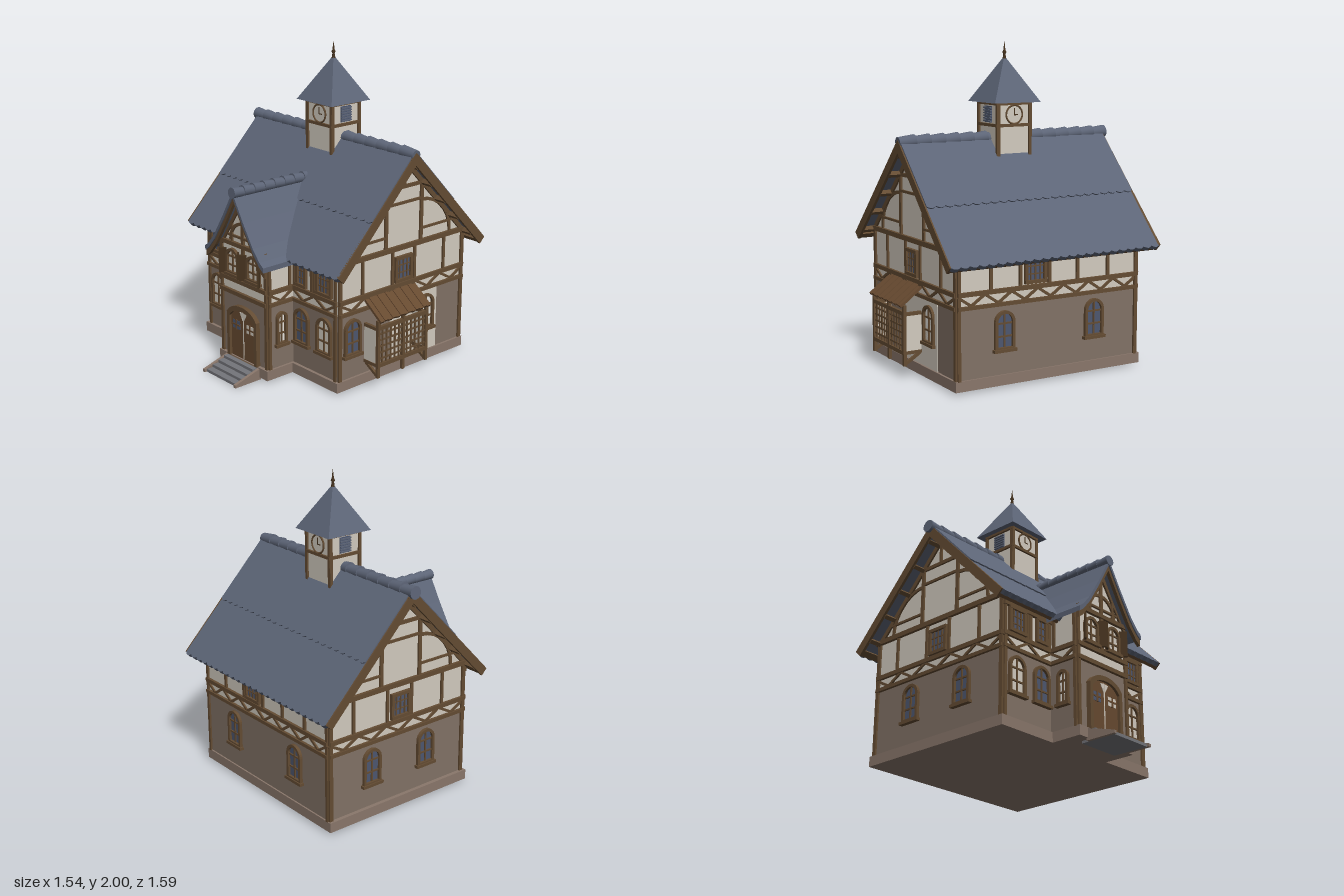
import * as THREE from 'three';

const mat = (name, color) => Object.assign(new THREE.MeshStandardMaterial({ color }), { name });
const M = {
  roof: mat('slateRoof', 0x5d6577), cream: mat('creamPlaster', 0xd3ccc0), wood: mat('timber', 0x644c33),
  stone: mat('brownRender', 0x827266), plinth: mat('plinthStone', 0x8a776b), step: mat('greyStep', 0x74757a),
  glass: mat('blueGlass', 0x4d5770), pale: mat('paleGlass', 0xece9e4), dark: mat('darkWood', 0x46331f),
  door: mat('doorWood', 0x674a30),
};
const CX = -0.015, RZ = -0.14, RY = 1.425; // centre line and main ridge

function add(parent, name, geo, m, x = 0, y = 0, z = 0) {
  const mesh = new THREE.Mesh(geo, m);
  mesh.name = name;
  mesh.position.set(x, y, z);
  parent.add(mesh);
  return mesh;
}
// Box given by its limits on each axis
const block = (p, name, m, x0, x1, y0, y1, z0, z1) =>
  add(p, name, new THREE.BoxGeometry(x1 - x0, y1 - y0, z1 - z0), m, (x0 + x1) / 2, (y0 + y1) / 2, (z0 + z1) / 2);
const poly = (pts) => new THREE.Shape(pts.map(([x, y]) => new THREE.Vector2(x, y)));
const extrude = (shape, depth) => new THREE.ExtrudeGeometry(shape, { depth, bevelEnabled: false, curveSegments: 8 });

// A wall frame: local x runs along the wall, y up, z outwards
function wall(root, name, x, z, turn) {
  const g = new THREE.Group();
  g.name = name;
  g.position.set(x, 0, z);
  g.rotation.y = turn;
  root.add(g);
  return g;
}
// Straight timber between two points of a wall
function beam(w, u0, v0, u1, v1, t = 0.02, d = 0.012, m = M.wood) {
  const b = add(w, 'timberBeam', new THREE.BoxGeometry(Math.hypot(u1 - u0, v1 - v0), t, d), m, (u0 + u1) / 2, (v0 + v1) / 2, d / 2);
  b.rotation.z = Math.atan2(v1 - v0, u1 - u0);
  return b;
}
// Quarter-round brace springing from a post
function arcBrace(w, u, v, r, dir) {
  for (let i = 0; i < 7; i++) {
    const a = (i / 7) * Math.PI / 2, b = ((i + 1.1) / 7) * Math.PI / 2;
    beam(w, u + dir * r * Math.cos(a), v + r * Math.sin(a), u + dir * r * Math.cos(b), v + r * Math.sin(b), 0.02, 0.01);
  }
}
// Cream band with zigzag braces between two rails
function band(w, u0, u1, n) {
  beam(w, u0, 0.5, u1, 0.5, 0.022, 0.018);
  beam(w, u0, 0.58, u1, 0.58, 0.026, 0.018);
  const s = (u1 - u0) / n;
  for (let i = 0; i < n; i++) beam(w, u0 + i * s, i % 2 ? 0.51 : 0.57, u0 + (i + 1) * s, i % 2 ? 0.57 : 0.51, 0.016, 0.01);
}
function archShape(w, h, type = THREE.Shape) {
  const s = new type(), r = w / 2;
  s.moveTo(-r, 0); s.lineTo(r, 0); s.lineTo(r, h - r);
  s.absarc(0, h - r, r, 0, Math.PI, false);
  s.lineTo(-r, 0);
  return s;
}
function archWindow(wl, u, v, w, h, pane) {
  const s = archShape(w, h);
  const hole = archShape(w - 0.036, h - 0.036, THREE.Path);
  s.holes.push(new THREE.Path(hole.getPoints(8).map((p) => p.add(new THREE.Vector2(0, 0.018)))));
  add(wl, 'archedWindowFrame', extrude(s, 0.02), M.wood, u, v, 0);
  add(wl, 'archedWindowPane', extrude(archShape(w - 0.02, h - 0.02), 0.004), pane, u, v + 0.01, 0);
  beam(wl, u, v, u, v + h - 0.01, 0.01, 0.012);
  for (const k of [0.35, 0.68]) beam(wl, u - w / 2, v + h * k, u + w / 2, v + h * k, 0.01, 0.012);
  block(wl, 'windowSill', M.wood, u - w / 2 - 0.01, u + w / 2 + 0.01, v - 0.01, v + 0.008, 0, 0.028);
}
function rectWindow(wl, u, v, w, h, cols) {
  block(wl, 'windowPane', M.glass, u - w / 2, u + w / 2, v, v + h, 0, 0.006);
  for (const k of [-1, 1]) beam(wl, u + k * w / 2, v, u + k * w / 2, v + h, 0.02, 0.02);
  for (const y of [v, v + h]) beam(wl, u - w / 2 - 0.01, y, u + w / 2 + 0.01, y, 0.02, 0.022);
  for (let i = 1; i < cols; i++) beam(wl, u - w / 2 + (i * w) / cols, v, u - w / 2 + (i * w) / cols, v + h, 0.008, 0.012);
  for (const k of [0.33, 0.66]) beam(wl, u - w / 2, v + h * k, u + w / 2, v + h * k, 0.007, 0.011);
}
// Roof slope with a scalloped lower edge, hanging down from y = 0
function slope(width, len, thick, teeth) {
  const s = new THREE.Shape(), st = width / teeth;
  s.moveTo(width / 2, 0); s.lineTo(-width / 2, 0); s.lineTo(-width / 2, -len);
  for (let i = 0; i < teeth; i++) {
    const x = -width / 2 + i * st;
    s.quadraticCurveTo(x + st / 2, -len - 0.026, x + st, -len);
  }
  return new THREE.ExtrudeGeometry(s, { depth: thick, bevelEnabled: false, curveSegments: 4 });
}
// Row of overlapping round ridge tiles along local x
function ridge(root, name, length, n, r) {
  const g = new THREE.Group();
  g.name = name;
  for (let i = 0; i < n; i++) {
    const t = add(g, 'ridgeTile', new THREE.CylinderGeometry(r, r * 0.86, length / n * 1.12, 14), M.roof, -length / 2 + (i + 0.5) * length / n, 0, 0);
    t.rotation.z = Math.PI / 2 - 0.07;
  }
  root.add(g);
  return g;
}
// Timber framing shared by both gable ends; s turns z into wall direction
function gableEnd(w, s) {
  const Z = (z0, y0, z1, y1, t, d) => beam(w, s * z0, y0, s * z1, y1, t, d);
  for (const z of [0.38, -0.67]) Z(z, 0.075, z, 0.83, 0.026);
  for (const z of [0.2, -0.05, -0.24, -0.5]) Z(z, 0.58, z, 0.82, 0.018);
  Z(0.42, 0.82, -0.7, 0.82, 0.03, 0.02);
  Z(0.33, 0.905, 0.01, 0.905, 0.014); Z(-0.29, 0.905, -0.61, 0.905, 0.014);
  Z(0.01, 0.82, 0.01, 1.22, 0.024); Z(-0.29, 0.82, -0.29, 1.22, 0.024);
  Z(0.01, 1.1, -0.29, 1.1, 0.016); Z(0.07, 1.2, -0.35, 1.2, 0.022);
  Z(RZ, 1.2, RZ, 1.36, 0.018);
  for (const k of [1, -1]) {
    Z(RZ, 1.36, RZ + k * 0.53, 0.815, 0.03);
    arcBrace(w, s * (RZ + k * 0.15), 0.83, 0.26, s * k);
  }
  rectWindow(w, s * -0.14, 0.61, 0.13, 0.145, 4);
  band(w, Math.min(s * 0.39, s * -0.68), Math.max(s * 0.39, s * -0.68), 10);
}

export function createModel() {
  const root = new THREE.Group();
  root.name = 'timberFramedHall';

  // Plinth and entrance steps
  block(root, 'plinth', M.plinth, -0.665, 0.635, 0.015, 0.078, -0.69, 0.41);
  block(root, 'wingPlinth', M.plinth, -0.25, 0.225, 0.015, 0.078, 0.3, 0.612);
  for (let i = 0; i < 4; i++) block(root, 'step', M.step, -0.16, 0.13, 0, 0.018 * (i + 1), 0.55, 0.785 - i * 0.045);
  for (const x of [-0.18, 0.13]) {
    const c = add(root, 'stepCheek', extrude(poly([[-0.8, 0], [-0.6, 0], [-0.6, 0.075], [-0.8, 0.018]]), 0.02), M.plinth, x);
    c.rotation.y = Math.PI / 2;
  }

  // Main body and front wing
  block(root, 'lowerStorey', M.stone, -0.64, 0.62, 0.075, 0.5, -0.68, 0.39);
  const body = add(root, 'upperStorey', extrude(poly([[-0.39, 0.5], [0.68, 0.5], [0.68, 0.82], [0.14, 1.37], [-0.39, 0.83]]), 1.26), M.cream, -0.64);
  body.rotation.y = Math.PI / 2;
  block(root, 'wingLowerStorey', M.stone, -0.24, 0.21, 0.075, 0.5, 0.3, 0.59);
  add(root, 'wingUpperStorey', extrude(poly([[-0.225, 0.5], [0.225, 0.5], [0.225, 0.79], [0, 1.12], [-0.225, 0.79]]), 0.59), M.cream, CX);

  // Main front wall
  const front = wall(root, 'frontWall', 0, 0.39, 0);
  for (const k of [-1, 1]) {
    const X = (d) => CX + k * d;
    archWindow(front, X(0.52), 0.225, 0.135, 0.235, M.cream);
    archWindow(front, X(0.315), 0.225, 0.135, 0.235, M.glass);
    rectWindow(front, X(0.52), 0.61, 0.12, 0.14, 4);
    rectWindow(front, X(0.315), 0.61, 0.075, 0.14, 2);
    for (const d of [0.615, 0.43, 0.405, 0.245]) beam(front, X(d), d > 0.6 ? 0.075 : 0.58, X(d), 0.8, 0.02);
    band(front, Math.min(X(0.225), X(0.63)), Math.max(X(0.225), X(0.63)), 4);
    beam(front, X(0.22), 0.765, X(0.63), 0.765, 0.025, 0.02);
  }

  // Wing front with gable and twin windows
  const wing = wall(root, 'wingFront', 0, 0.59, 0);
  for (const y of [0.5, 0.585, 0.82]) beam(wing, -0.24, y, 0.21, y, 0.026, 0.02);
  beam(wing, -0.16, 0.87, 0.13, 0.87, 0.014);
  beam(wing, CX, 0.58, CX, 1.12, 0.024);
  for (const k of [-1, 1]) {
    beam(wing, CX + k * 0.215, 0.075, CX + k * 0.215, 0.8, 0.022);
    beam(wing, CX + k * 0.105, 0.82, CX + k * 0.105, 0.96, 0.014);
    beam(wing, CX, 1.115, CX + k * 0.225, 0.785, 0.028);
    arcBrace(wing, CX, 0.84, 0.12, k);
    archWindow(wing, CX + k * 0.1, 0.615, 0.125, 0.17, M.cream);
    // Shutters standing half open
    for (const e of [-1, 1]) {
      const sh = block(wing, 'shutter', M.dark, -0.024, 0.024, 0.615, 0.78, -0.006, 0.006);
      sh.position.set(CX + k * 0.1 + e * 0.077, 0.695, 0.028);
      sh.rotation.y = -e * 0.75;
    }
  }

  // Arched double door
  const dw = 0.29, archTop = (w, y0, y1, T) => {
    const s = new T();
    s.moveTo(-w, 0); s.lineTo(w, 0); s.lineTo(w, y0); s.quadraticCurveTo(w * 0.7, y1, 0, y1); s.quadraticCurveTo(-w * 0.7, y1, -w, y0); s.lineTo(-w, 0);
    return s;
  };
  const frame = archTop(dw / 2, 0.29, 0.355, THREE.Shape);
  frame.holes.push(archTop(dw / 2 - 0.025, 0.27, 0.325, THREE.Path));
  add(wing, 'doorFrame', extrude(frame, 0.03), M.wood, CX, 0.075, 0);
  add(wing, 'doorLeaves', extrude(archTop(dw / 2 - 0.02, 0.27, 0.33, THREE.Shape), 0.012), M.door, CX, 0.075, 0);
  block(wing, 'doorGap', M.cream, CX - 0.004, CX + 0.004, 0.08, 0.39, 0, 0.014);
  for (const k of [-1, 1]) {
    const u = CX + k * 0.068;
    block(wing, 'doorPane', k < 0 ? M.glass : M.cream, u - 0.035, u + 0.035, 0.265, 0.32, 0.01, 0.015);
    beam(wing, u, 0.26, u, 0.325, 0.012, 0.019, M.door);
    beam(wing, u - 0.035, 0.293, u + 0.035, 0.293, 0.01, 0.019, M.door);
    add(wing, 'doorTopLight', extrude(poly([[0, 0], [k * -0.03, 0.004], [k * -0.03, -0.05]].slice()[k < 0 ? 'slice' : 'reverse']()), 0.004), M.cream, CX + k * 0.036, 0.385, 0.011);
  }

  // Wing sides
  for (const k of [-1, 1]) {
    const w = wall(root, 'wingSide', CX + k * 0.225, 0, k * Math.PI / 2), u = -k;
    archWindow(w, u * 0.49, 0.225, 0.085, 0.215, M.pale);
    for (const z of [0.58, 0.42]) beam(w, u * z, z > 0.5 ? 0.075 : 0.58, u * z, 0.79);
    band(w, Math.min(u * 0.39, u * 0.59), Math.max(u * 0.39, u * 0.59), 2);
  }

  // Gable ends
  const right = wall(root, 'rightWall', 0.62, 0, Math.PI / 2), left = wall(root, 'leftWall', -0.64, 0, -Math.PI / 2);
  gableEnd(right, -1);
  gableEnd(left, 1);
  block(right, 'plasterPatch', M.cream, 0.04, 0.45, 0.078, 0.5, 0, 0.004);
  archWindow(right, -0.28, 0.225, 0.135, 0.235, M.glass);
  archWindow(right, 0.35, 0.225, 0.135, 0.235, M.pale);
  for (const z of [-0.36, 0.07]) archWindow(left, z, 0.225, 0.135, 0.235, M.glass);

  // Back wall
  const back = wall(root, 'backWall', 0, -0.68, Math.PI);
  band(back, -0.62, 0.64, 14);
  for (const x of [0.61, 0.4, 0.2, 0, -0.2, -0.42, -0.63]) beam(back, -x, Math.abs(x) > 0.6 ? 0.075 : 0.58, -x, 0.82);
  beam(back, -0.62, 0.78, 0.64, 0.78, 0.025, 0.015);
  rectWindow(back, -0.1, 0.61, 0.13, 0.14, 4);
  for (const x of [0.31, -0.32]) archWindow(back, -x, 0.225, 0.135, 0.235, M.glass);

  // Main roof: two overlapping courses per side, rake boards and eave boards
  const a = 0.769;
  for (const [turn, len] of [[0, 0.89], [Math.PI, 0.92]]) {
    const side = wall(root, 'mainRoofSide', CX, RZ, turn);
    side.position.y = RY;
    const pitch = new THREE.Group();
    pitch.name = 'roofPitch';
    pitch.rotation.x = -a;
    side.add(pitch);
    add(pitch, 'lowerTiles', slope(1.45, len, 0.03, 24), M.roof, 0, 0, -0.03);
    add(pitch, 'upperTiles', slope(1.45, 0.5, 0.008, 24), M.roof, 0, 0, 0);
    for (const x of [-0.725, 0.725]) block(pitch, 'rakeBoard', M.wood, x - 0.009, x + 0.009, -len, 0, -0.055, 0);
    block(pitch, 'eaveBoard', M.wood, -0.72, 0.72, -len, -len + 0.04, -0.05, -0.028);
    for (let i = 0; i < 5; i++) for (const x of [-0.67, 0.67]) block(pitch, 'purlinEnd', M.wood, x - 0.05, x + 0.05, -0.1 - i * 0.18, -0.075 - i * 0.18, -0.06, -0.03);
  }
  ridge(root, 'mainRidge', 1.47, 15, 0.04).position.set(-0.025, RY - 0.015, RZ);

  // Wing roof with flared eaves
  const half = [[0.285, 0.775], [0.25, 0.8], [0.19, 0.87], [0.1, 1.01]];
  const curve = [...half, [0, 1.18], ...half.map(([x, y]) => [-x, y]).reverse()];
  const shell = (d0, d1) => poly([...curve.map(([x, y]) => [x, y - d0]), ...curve.map(([x, y]) => [x, y - d1]).reverse()]);
  add(root, 'wingRoof', extrude(shell(0, 0.032), 0.67), M.roof, CX);
  add(root, 'wingRakeBoard', extrude(shell(0.03, 0.07), 0.022), M.wood, CX, 0, 0.64);
  const wr = ridge(root, 'wingRidge', 0.63, 8, 0.034);
  wr.position.set(CX, 1.172, 0.355);
  wr.rotation.y = Math.PI / 2;

  // Clock tower
  block(root, 'towerBody', M.cream, CX - 0.112, CX + 0.112, 1.2, 1.63, -0.255, -0.031);
  for (let i = 0; i < 4; i++) {
    const t = i * Math.PI / 2;
    const w = wall(root, 'towerFace', CX + 0.112 * Math.sin(t), -0.143 + 0.112 * Math.cos(t), t);
    for (const k of [-1, 1]) beam(w, k * 0.112, 1.2, k * 0.112, 1.63, 0.02);
    for (const y of [1.49, 1.622]) beam(w, -0.12, y, 0.12, y, 0.018, 0.014);
    if (i % 2) {
      block(w, 'louvrePanel', M.glass, -0.042, 0.042, 1.505, 1.605, 0, 0.005);
      for (let j = 0; j < 6; j++) block(w, 'louvreSlat', M.roof, -0.042, 0.042, 1.51 + j * 0.016, 1.518 + j * 0.016, 0, 0.014);
    } else {
      add(w, 'clockFace', new THREE.CircleGeometry(0.058, 28), M.cream, 0, 1.555, 0.006);
      add(w, 'clockRing', new THREE.TorusGeometry(0.057, 0.006, 6, 28), M.wood, 0, 1.555, 0.006);
      beam(w, 0, 1.55, 0, 1.595, 0.006, 0.009, M.dark);
      beam(w, 0, 1.553, 0.025, 1.553, 0.006, 0.009, M.dark);
    }
  }
  const cap = add(root, 'towerRoof', new THREE.ConeGeometry(0.163 * Math.SQRT2, 0.28, 4).toNonIndexed(), M.roof, CX, 1.768, -0.143);
  cap.geometry.computeVertexNormals();
  cap.rotation.y = Math.PI / 4;
  const prof = [[0.012, 0], [0.007, 0.03], [0.014, 0.04], [0.007, 0.052], [0.005, 0.07], [0, 0.11]];
  add(root, 'finial', new THREE.LatheGeometry(prof.map(([x, y]) => new THREE.Vector2(x, y)), 10), M.dark, CX, 1.89, -0.143);

  // Lattice porch on the right side, in that wall's own frame
  for (const u of [-0.17, 0.04, 0.24]) block(right, 'porchPost', M.wood, u - 0.01, u + 0.01, 0.08, 0.45, 0.105, 0.125);
  for (const y of [0.16, 0.4]) block(right, 'porchRail', M.wood, -0.18, 0.25, y - 0.012, y + 0.012, 0.105, 0.125);
  for (let i = 1; i < 12; i++) block(right, 'latticeUpright', M.wood, -0.175 + i * 0.035, -0.165 + i * 0.035, 0.16, 0.4, 0.111, 0.119);
  for (let i = 1; i < 6; i++) block(right, 'latticeBar', M.wood, -0.17, 0.24, 0.155 + i * 0.04, 0.165 + i * 0.04, 0.11, 0.118);
  for (const [z, n] of [[0.17, 1], [-0.24, -1]]) {
    block(root, 'porchSidePanel', M.cream, 0.62, 0.73, 0.16, 0.4, z - 0.006, z + 0.006);
    for (const y of [0.16, 0.395]) block(root, 'porchSideRail', M.wood, 0.62, 0.74, y - 0.01, y + 0.01, z - 0.01, z + 0.01);
    const brace = block(root, 'porchBrace', M.wood, -0.06, 0.06, -0.009, 0.009, z - 0.008, z + 0.008);
    brace.position.set(0.685, 0.12, z);
    brace.rotation.z = -0.55;
  }
  for (let i = 0; i < 13; i++) {
    const b = add(root, 'porchRoofBoard', new THREE.BoxGeometry(0.18, 0.016, 0.031), M.door, 0.69, 0.5 + (i % 2) * 0.004, 0.162 - i * 0.033);
    b.rotation.z = -0.64;
  }
  return root;
}
